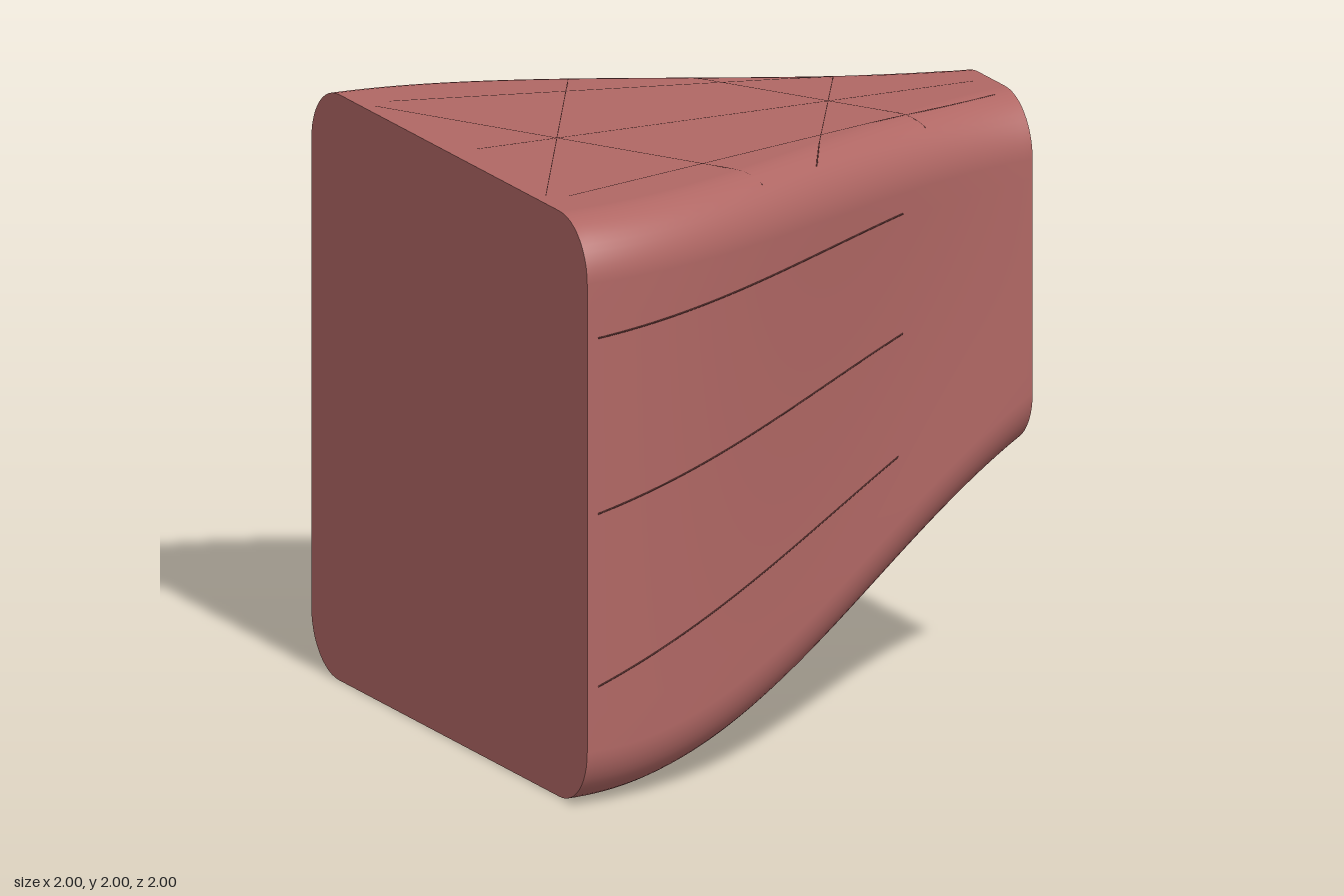
import * as THREE from 'three';

const R = 0.2; // corner radius of every cross-section
const hermite = (u, a, b, m1) =>
  a + (b - a) * u * u * (3 - 2 * u) + m1 * (u * u * u - u * u);

// Height of the underside along x
const bottomY = (x) => hermite((x + 1) / 2, 0, 0.8, 0.93);

// Half width along x; s runs from the top (0) to the underside (1)
const width = (x, s) =>
  hermite((x + 1) / 2, 1, 0.3, -(0.35 - 0.48 * s + 0.68 * s * s));

// Amount a rounded corner pulls in at distance d from the edge
const inset = (d) => (d >= R ? 0 : R - Math.sqrt(Math.max(0, R * R - (R - d) ** 2)));

const sideZ = (x, y) => {
  const b = bottomY(x);
  return width(x, (2 - y) / (2 - b)) - inset(Math.min(2 - y, y - b));
};
const topY = (x, z) => 2 - inset(width(x, 0) - Math.abs(z));
const underY = (x, z) => bottomY(x) + inset(width(x, 1) - Math.abs(z));

// One rounded cross-section, running from +z up over the top
function section(x) {
  const b = bottomY(x), half = [], corner = 12, flat = 12;
  for (let i = 0; i <= corner; i++) half.push(b + R * (1 - Math.cos((i / corner) * Math.PI / 2)));
  for (let i = 1; i < flat; i++) half.push(b + R + (2 - b - 2 * R) * i / flat);
  for (let i = 0; i <= corner; i++) half.push(2 - R + R * Math.sin((i / corner) * Math.PI / 2));
  const right = half.map((y) => [x, y, sideZ(x, y)]);
  const left = right.map(([px, y, z]) => [px, y, -z]).reverse();
  return [...right, ...left];
}

function buildSkin() {
  const pos = [], index = [], steps = 64;
  let n = 0;
  for (let i = 0; i <= steps; i++) {
    const ring = section(-1 + (2 * i) / steps);
    n = ring.length;
    pos.push(...ring.flat());
  }
  for (let i = 0; i < steps; i++) {
    for (let j = 0; j < n; j++) {
      const a = i * n + j, b = i * n + ((j + 1) % n);
      index.push(a, a + n, b + n, a, b + n, b);
    }
  }
  const g = new THREE.BufferGeometry();
  g.setAttribute('position', new THREE.Float32BufferAttribute(pos, 3));
  g.setIndex(index);
  g.computeVertexNormals();
  return g;
}

// Flat end closing the body at x = -1 or x = 1
function buildCap(x) {
  const ring = section(x), n = ring.length, index = [];
  const pos = [x, (2 + bottomY(x)) / 2, 0, ...ring.flat()];
  for (let j = 0; j < n; j++) {
    const a = j + 1, b = ((j + 1) % n) + 1;
    index.push(0, ...(x < 0 ? [a, b] : [b, a]));
  }
  const g = new THREE.BufferGeometry();
  g.setAttribute('position', new THREE.Float32BufferAttribute(pos, 3));
  g.setIndex(index);
  g.computeVertexNormals();
  return g;
}

export function createModel() {
  const group = new THREE.Group();
  const clay = new THREE.MeshStandardMaterial({ color: 0xb06764 });
  clay.name = 'dusty red';
  const dark = new THREE.MeshStandardMaterial({ color: 0x6b3c3a });
  dark.name = 'dark red';

  const add = (name, geometry, material) => {
    const mesh = new THREE.Mesh(geometry, material);
    mesh.name = name;
    group.add(mesh);
  };
  add('taperedBody', buildSkin(), clay);
  add('largeEnd', buildCap(-1), clay);
  add('smallEnd', buildCap(1), clay);

  // Hairline seam, straight in plan and draped onto the surface
  const seam = (name, [x0, v0], [x1, v1], drape) => {
    const pts = [];
    for (let i = 0; i <= 24; i++) {
      const t = i / 24;
      pts.push(drape(x0 + (x1 - x0) * t, v0 + (v1 - v0) * t));
    }
    add(name, new THREE.TubeGeometry(new THREE.CatmullRomCurve3(pts), 48, 0.003, 5), dark);
  };
  const onTop = (x, z) => new THREE.Vector3(x, topY(x, z) - 0.002, z);
  const onUnder = (x, z) => new THREE.Vector3(x, underY(x, z) + 0.001, z);

  for (const s of [1, -1]) {
    const onSide = (x, y) => new THREE.Vector3(x, y, s * (sideZ(x, y) - 0.001));
    seam('sideSeam', [-0.96, 1.61], [0.43, 1.73], onSide);
    seam('sideSeam', [-0.96, 1.01], [0.43, 1.32], onSide);
    seam('sideSeam', [-0.96, 0.42], [0.4, 0.91], onSide);
    seam('topLongSeam', [-0.89, s * 0.65], [0.93, s * 0.16], onTop);
    seam('topCrossSeam', [-0.96, s * 0.62], [-0.2, -s * 0.7], onTop);
    seam('topCrossSeam', [0.06, s * 0.58], [0.59, -s * 0.33], onTop);
    seam('undersideSeam', [-0.96, s * 0.62], [0.6, s * 0.25], onUnder);
  }
  seam('topCentreSeam', [-0.9, 0], [0.93, 0], onTop);
  seam('undersideCentreSeam', [-0.96, 0], [0.6, 0], onUnder);
  return group;
}
